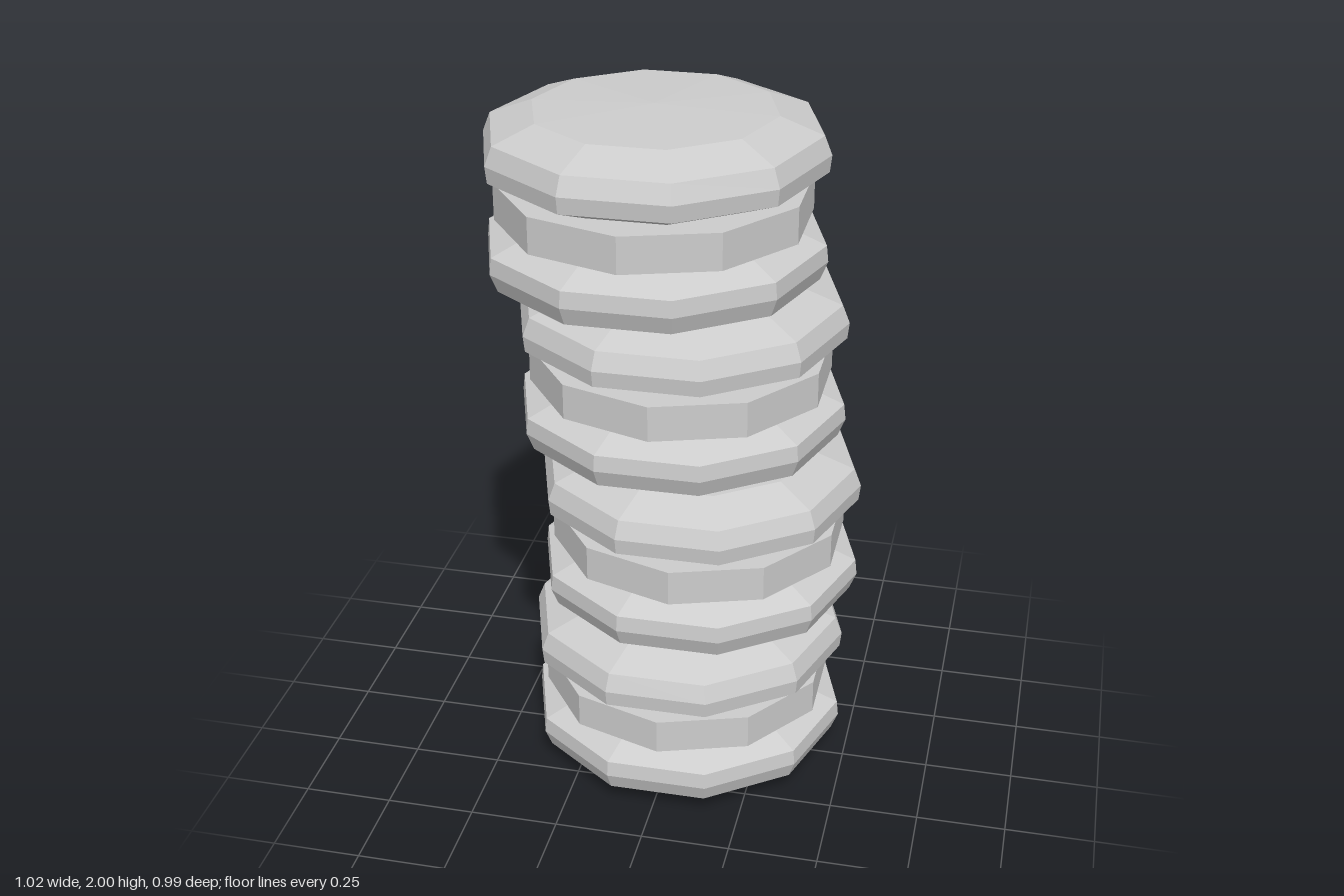
import * as THREE from 'three';

const SIDES = 10;

// Half profile of the upper shell, from underside centre to crown (radius, height)
const shellProfile = [
  [0, 0.05], [0.335, 0.05], [0.455, 0.1], [0.46, 0.145],
  [0.44, 0.195], [0.325, 0.238], [0, 0.25],
];

// Sandwich centres on x and z, bottom to top
const centres = [[0.015, -0.053], [0.05, -0.05], [0, -0.035], [-0.052, 0.058]];

function shellGeometry(sign) {
  const pts = shellProfile.map(([r, y]) => new THREE.Vector2(r, y * sign));
  if (sign < 0) pts.reverse(); // keep faces pointing outward
  return new THREE.LatheGeometry(pts, SIDES, Math.PI / SIDES);
}

export function createModel() {
  const model = new THREE.Group();
  model.name = 'stackOfSandwichRounds';

  const grey = new THREE.MeshStandardMaterial({ color: 0xcccccc, flatShading: true });
  grey.name = 'lightGrey';

  const upper = shellGeometry(1);
  const lower = shellGeometry(-1);
  const filling = new THREE.CylinderGeometry(0.42, 0.42, 0.1, SIDES);

  centres.forEach(([x, z], i) => {
    const round = new THREE.Group();
    round.name = `round${i + 1}`;
    const parts = { lowerShell: lower, filling, upperShell: upper };
    for (const [name, geometry] of Object.entries(parts)) {
      const mesh = new THREE.Mesh(geometry, grey);
      mesh.name = name;
      round.add(mesh);
    }
    round.position.set(x, 0.25 + i * 0.5, z);
    model.add(round);
  });

  return model;
}
